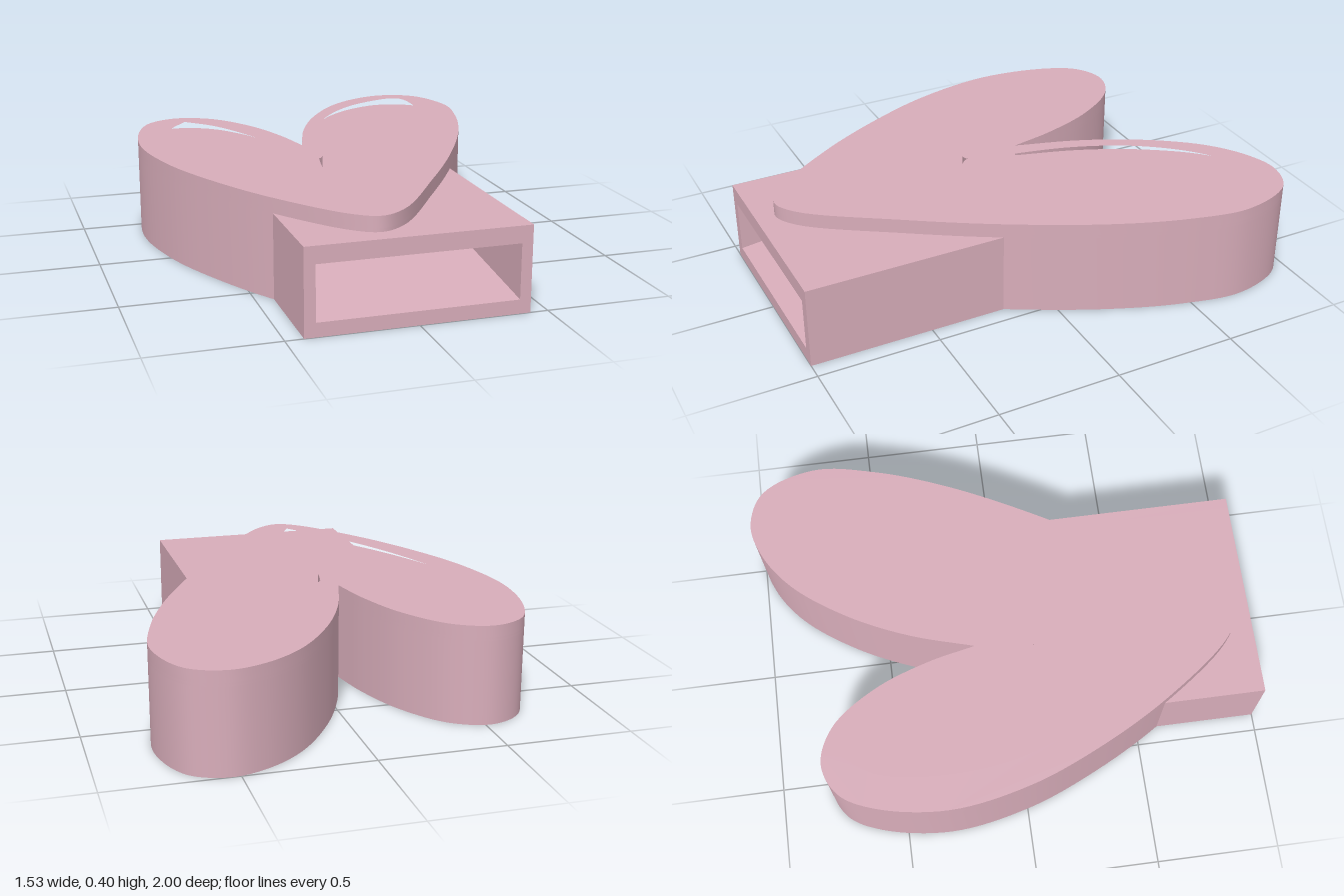
import * as THREE from 'three';
import { toCreasedNormals } from 'three/addons/utils/BufferGeometryUtils.js';

const HEIGHT = 0.397, BLOCK_TOP = 0.337, RECESS_FLOOR = 0.35;
const BLOCK_X = 0.43, SLOT_X = 0.387, SLOT_BACK = 0.5;
const SLOT_LOW = 0.055, SLOT_HIGH = 0.27, RAMP_TOP = 0.115;

// Each run is a smooth curve of (x, z) points; sharp corners fall between runs.
const outerRuns = [[
  [-0.11, -0.14], [-0.03, -0.4], [0.085, -0.64], [0.245, -0.855], [0.4, -0.965], [0.54, -1],
  [0.68, -0.94], [0.76, -0.72], [0.72, -0.47], [0.615, -0.175], [0.43, 0.19], [0.22, 0.53],
  [-0.02, 0.87], [-0.12, 0.922], [-0.21, 0.875], [-0.43, 0.59], [-0.6, 0.28], [-0.71, 0],
  [-0.765, -0.32], [-0.72, -0.61], [-0.645, -0.745], [-0.52, -0.797], [-0.375, -0.74],
  [-0.24, -0.56], [-0.155, -0.34], [-0.11, -0.14],
]];
const innerRuns = [
  [[-0.5, -0.715], [-0.39, -0.595], [-0.27, -0.345], [-0.19, -0.05], [-0.165, 0.07], [-0.12, 0.098],
    [-0.09, 0.08], [-0.065, -0.025], [0.01, -0.345], [0.125, -0.595], [0.295, -0.795], [0.455, -0.89],
    [0.56, -0.918], [0.6, -0.895], [0.615, -0.78], [0.575, -0.57], [0.46, -0.28], [0.19, 0.23], [-0.15, 0.825]],
  [[-0.15, 0.825], [-0.34, 0.555], [-0.5, 0.24], [-0.605, -0.08], [-0.62, -0.4], [-0.58, -0.6], [-0.5, -0.715]],
];

// Samples runs into one closed outline, in plan coordinates (y = -z)
function outline(runs) {
  return runs.flatMap((run) => {
    const curve = new THREE.CatmullRomCurve3(run.map(([x, z]) => new THREE.Vector3(x, -z, 0)));
    return curve.getPoints((run.length - 1) * 8).slice(0, -1).map((p) => new THREE.Vector2(p.x, p.y));
  });
}

// Extrudes a plan shape upwards between two heights
function layer(shape, low, high) {
  const geometry = new THREE.ExtrudeGeometry(shape, { depth: high - low, bevelEnabled: false });
  geometry.rotateX(-Math.PI / 2).translate(0, low, 0);
  return toCreasedNormals(geometry, 0.38);
}

export function createModel() {
  const group = new THREE.Group();
  const pink = new THREE.MeshStandardMaterial({ color: 0xd8adba });
  pink.name = 'dustyPink';
  const add = (name, geometry) => {
    const mesh = new THREE.Mesh(geometry, pink);
    mesh.name = name;
    group.add(mesh);
  };

  const heart = outline(outerRuns);

  // Lower body: the heart joined to the block, open where the slot runs in
  const inBlock = (p) => Math.abs(p.x) < BLOCK_X - 0.001 && p.y < -0.185;
  const first = heart.findIndex(inBlock);
  const last = heart.findLastIndex(inBlock);
  const blockCorners = [
    [BLOCK_X, 1], [SLOT_X, 1], [SLOT_X, SLOT_BACK], [-SLOT_X, SLOT_BACK], [-SLOT_X, 1], [-BLOCK_X, 1],
  ].map(([x, z]) => new THREE.Vector2(x, -z));
  const body = [...heart.slice(0, first), ...blockCorners, ...heart.slice(last + 1)];
  add('lowerBody', layer(new THREE.Shape(body), 0, BLOCK_TOP));

  // Roof over the slot
  const slotDepth = 1 - SLOT_BACK;
  const roof = new THREE.BoxGeometry(SLOT_X * 2, BLOCK_TOP - SLOT_HIGH, slotDepth);
  add('slotRoof', roof.translate(0, (BLOCK_TOP + SLOT_HIGH) / 2, 1 - slotDepth / 2));

  // Floor of the slot, rising towards the back
  const ramp = new THREE.Shape([[-1, 0], [-SLOT_BACK, 0], [-SLOT_BACK, RAMP_TOP], [-1, SLOT_LOW]]
    .map(([x, y]) => new THREE.Vector2(x, y)));
  const rampGeometry = new THREE.ExtrudeGeometry(ramp, { depth: SLOT_X * 2, bevelEnabled: false });
  add('slotRamp', rampGeometry.translate(0, 0, -SLOT_X).rotateY(Math.PI / 2));

  // Upper heart: recess floor and raised rim
  add('recessFloor', layer(new THREE.Shape(heart), BLOCK_TOP, RECESS_FLOOR));
  const rim = new THREE.Shape(heart);
  rim.holes.push(new THREE.Path(outline(innerRuns)));
  add('heartRim', layer(rim, RECESS_FLOOR, HEIGHT));

  return group;
}
